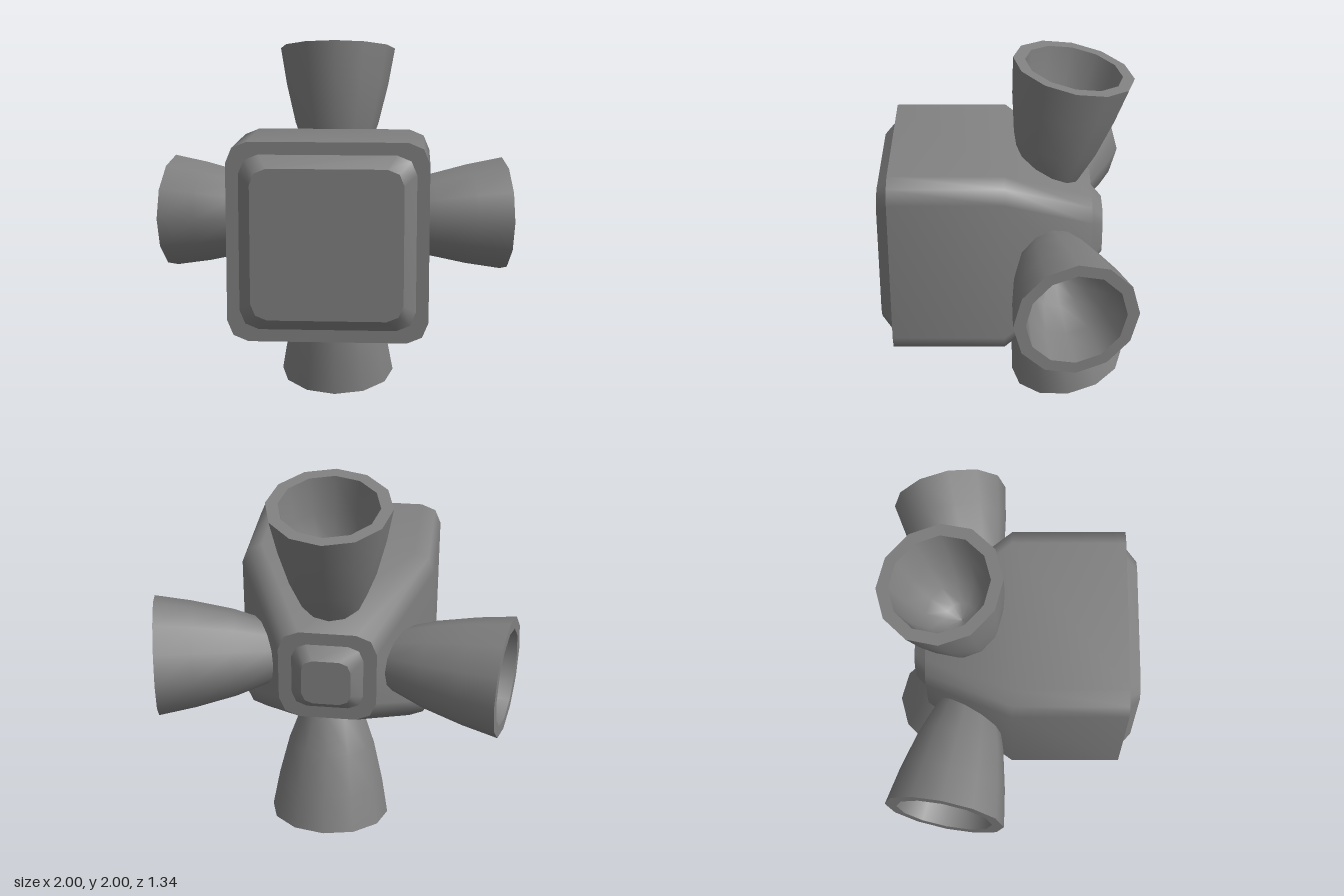
import * as THREE from 'three';

const grey = new THREE.MeshStandardMaterial({ color: 0x808080 });
grey.name = 'metal grey';

// Rounded square ring, counterclockwise seen from +z; corners have two facets
function ring([half, radius, z]) {
  const points = [];
  for (let corner = 0; corner < 4; corner++) {
    const mid = Math.PI / 4 + corner * Math.PI / 2;
    const cx = Math.sign(Math.cos(mid)) * (half - radius);
    const cy = Math.sign(Math.sin(mid)) * (half - radius);
    for (let k = -1; k <= 1; k++) {
      const a = mid + k * Math.PI / 4;
      points.push([cx + radius * Math.cos(a), cy + radius * Math.sin(a), z]);
    }
  }
  return points;
}

// Smooth strip through rings listed from back to front
function strip(name, sections) {
  const rings = sections.map(ring);
  const n = rings[0].length;
  const index = [];
  for (let r = 0; r < rings.length - 1; r++) {
    for (let i = 0; i < n; i++) {
      const j = (i + 1) % n;
      const a = r * n + i, b = r * n + j, c = b + n, d = a + n;
      index.push(a, b, c, a, c, d);
    }
  }
  const geometry = new THREE.BufferGeometry();
  geometry.setAttribute('position', new THREE.Float32BufferAttribute(rings.flat(2), 3));
  geometry.setIndex(index);
  geometry.computeVertexNormals();
  const mesh = new THREE.Mesh(geometry, grey);
  mesh.name = name;
  return mesh;
}

// Twelve-sided surface of revolution
function lathe(name, profile) {
  const points = profile.map(([r, y]) => new THREE.Vector2(r, y));
  const mesh = new THREE.Mesh(new THREE.LatheGeometry(points, 12), grey);
  mesh.name = name;
  return mesh;
}

// Bell with a thick rim and a hollow bowl; its mouth is at local y = 0
function makeNozzle() {
  const nozzle = new THREE.Group();
  nozzle.name = 'nozzle';
  nozzle.add(
    lathe('nozzleShell', [[0.1, -0.75], [0.171, -0.6], [0.235, -0.42], [0.288, -0.2], [0.3235, 0]]),
    lathe('nozzleRim', [[0.3235, 0], [0.26, 0]]),
    lathe('nozzleBowl', [[0.26, 0], [0.228, -0.2], [0.165, -0.38], [0.085, -0.47], [0, -0.5]])
  );
  return nozzle;
}

export function createModel() {
  const model = new THREE.Group();
  model.name = 'thrusterBlock';

  // Sections as [half size, corner radius, z]
  const backTop = [0.13, 0.06, -0.525];
  const backBase = [0.19, 0.08, -0.46];
  const bodyBack = [0.26, 0.11, -0.46];
  const bodyFront = [0.52, 0.11, 0.607];
  const frontBase = [0.455, 0.1, 0.607];
  const frontTop = [0.392, 0.085, 0.672];

  const body = new THREE.Group();
  body.name = 'body';
  body.add(
    strip('backPlateFace', [[0, 0, -0.525], backTop]),
    strip('backPlateBevel', [backTop, backBase]),
    strip('backRim', [backBase, bodyBack]),
    strip('hull', [bodyBack, [0.52, 0.11, 0.005], bodyFront]),
    strip('frontRim', [bodyFront, frontBase]),
    strip('frontPlateBevel', [frontBase, frontTop]),
    strip('frontPlateFace', [frontTop, [0, 0, 0.672]])
  );
  body.position.y = 1;
  model.add(body);

  // Four nozzles around the tapered end, leaning backwards
  for (let i = 0; i < 4; i++) {
    const mount = new THREE.Group();
    mount.name = 'nozzleMount';
    const nozzle = makeNozzle();
    nozzle.position.set(0, 0.9375, -0.354);
    nozzle.rotation.x = -0.194;
    mount.add(nozzle);
    mount.position.y = 1;
    mount.rotation.z = i * Math.PI / 2;
    model.add(mount);
  }
  return model;
}
